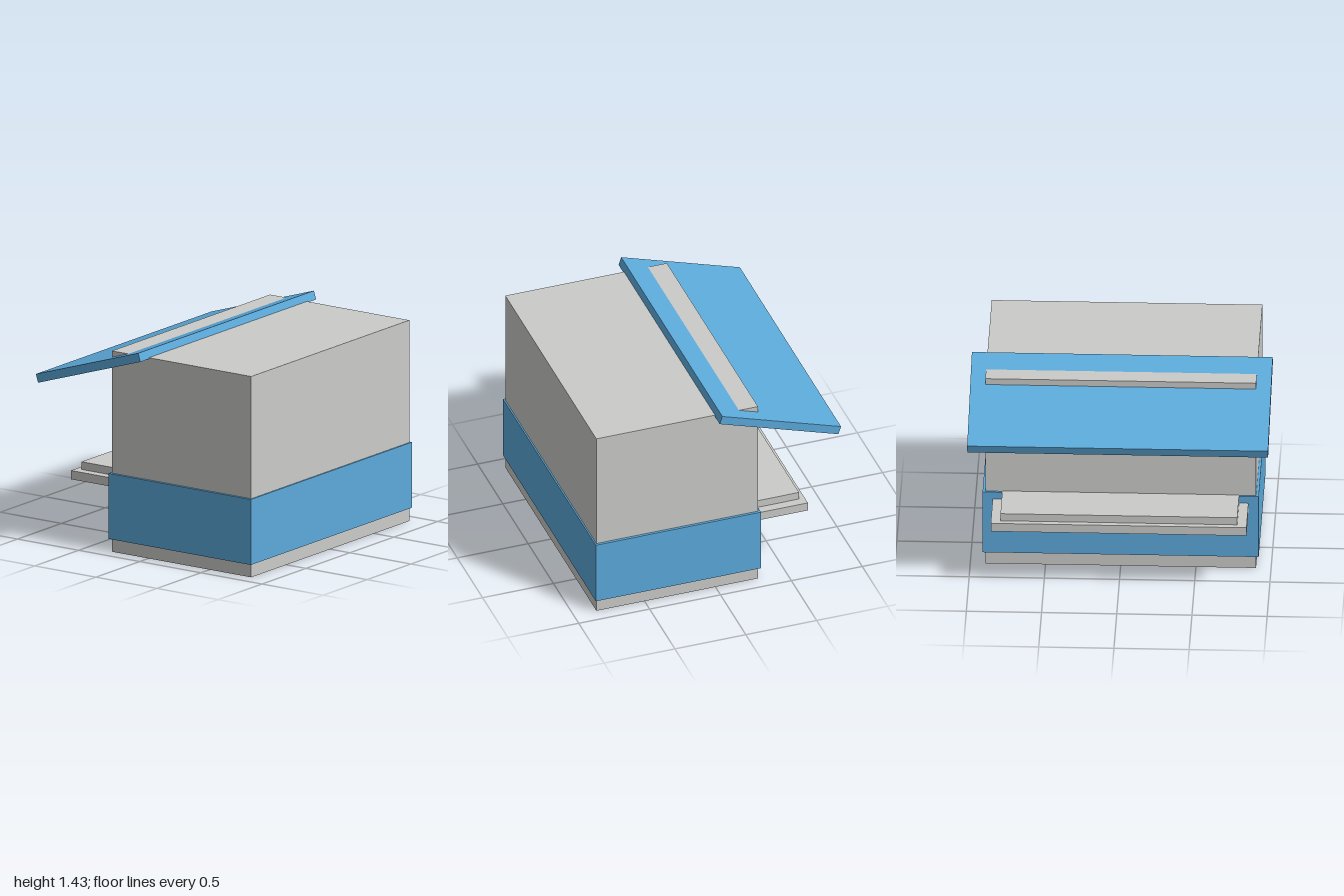
import * as THREE from 'three';

export function createModel() {
  const group = new THREE.Group();
  const grey = new THREE.MeshStandardMaterial({ color: 0xcbcbc9 });
  grey.name = 'pale grey';
  const blue = new THREE.MeshStandardMaterial({ color: 0x5caadb });
  blue.name = 'sky blue';

  // Box given by its half width and its y and z ranges
  function addBox(name, material, halfWidth, [y0, y1], [z0, z1]) {
    const mesh = new THREE.Mesh(new THREE.BoxGeometry(halfWidth * 2, y1 - y0, z1 - z0), material);
    mesh.position.set(0, (y0 + y1) / 2, (z0 + z1) / 2);
    mesh.name = name;
    group.add(mesh);
    return mesh;
  }

  // Kiosk body with a painted band around its lower half
  addBox('body', grey, 0.9, [0, 1.38], [-0.3, 0.84]);
  addBox('lowerBand', blue, 0.918, [0.09, 0.54], [-0.315, 0.85]);

  // Stepped serving counter on the back wall
  addBox('counterShelf', grey, 0.85, [0.43, 0.49], [-0.67, -0.3]);
  addBox('counterTop', grey, 0.787, [0.49, 0.543], [-0.63, -0.3]);

  // Awning sloping down from the roof; the roof edge pokes through it
  const awning = addBox('awning', blue, 1, [1.235, 1.295], [-0.8625, 0.0175]);
  awning.rotation.x = -Math.PI / 10;

  return group;
}
